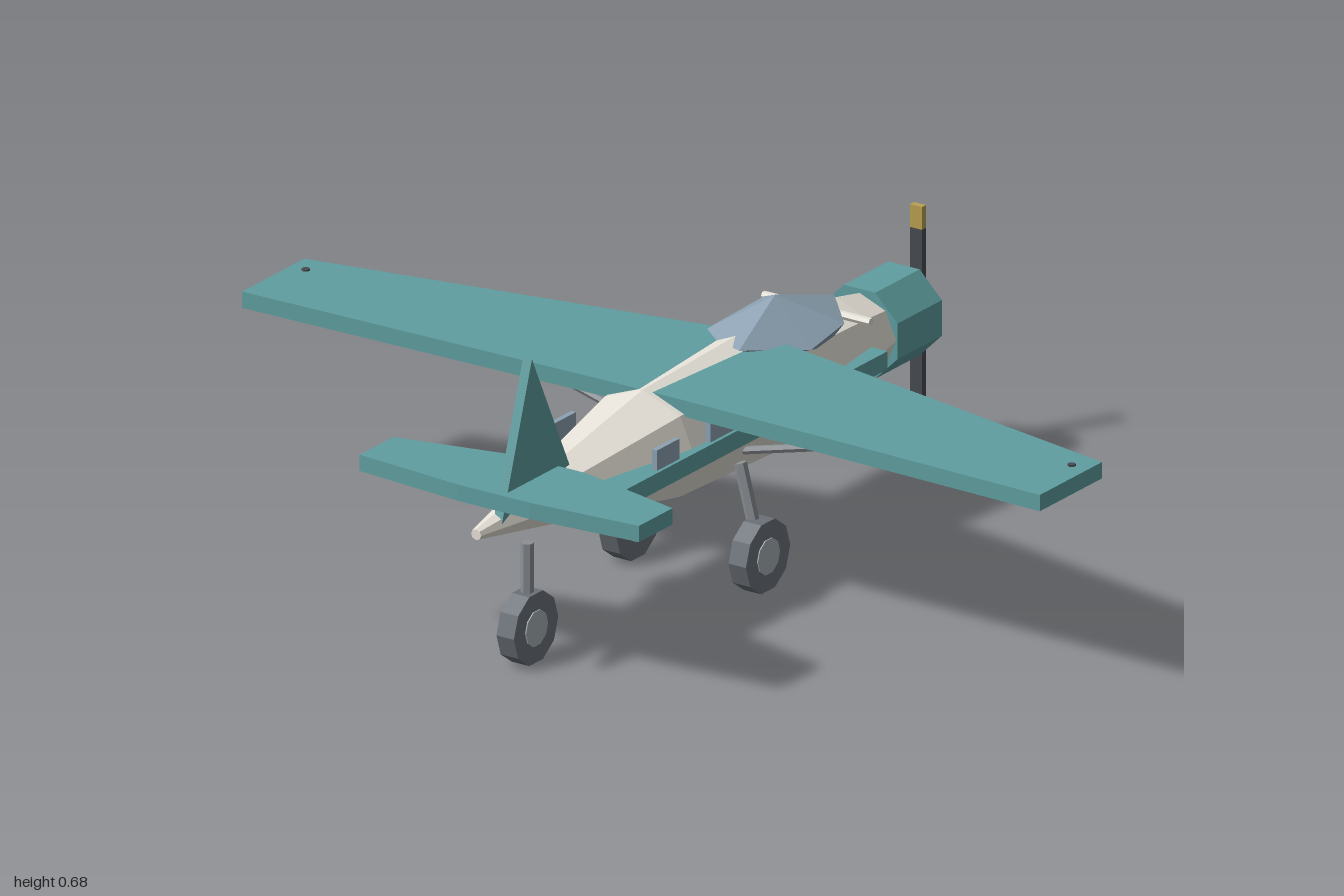
import * as THREE from 'three';
import { ConvexGeometry } from 'three/addons/geometries/ConvexGeometry.js';

const mat = (color) => new THREE.MeshStandardMaterial({ color, flatShading: true });
const teal = mat(0x5f9ea0), cream = mat(0xe6e2d8), glass = mat(0x8da2b3), dark = mat(0x474b50);
const gold = mat(0xb8a050), tyreGrey = mat(0x6b7178), hubGrey = mat(0xa6b2b4), metal = mat(0x8b9095);

export function createModel() {
  const plane = new THREE.Group();
  plane.name = 'airplane';

  const add = (name, geometry, material, x = 0, y = 0, z = 0) => {
    const mesh = new THREE.Mesh(geometry, material);
    mesh.name = name;
    mesh.position.set(x, y, z);
    plane.add(mesh);
    return mesh;
  };
  const box = (name, material, w, h, d, x, y, z) =>
    add(name, new THREE.BoxGeometry(w, h, d), material, x, y, z);
  // Rod between two points
  const rod = (name, material, r, a, b) => {
    const from = new THREE.Vector3(...a), to = new THREE.Vector3(...b);
    const dir = to.clone().sub(from);
    const mesh = add(name, new THREE.CylinderGeometry(r, r, dir.length(), 6), material);
    mesh.position.copy(from).add(to).multiplyScalar(0.5);
    mesh.quaternion.setFromUnitVectors(new THREE.Vector3(0, 1, 0), dir.normalize());
    return mesh;
  };
  const outline = (points) => new THREE.Shape(points.map(([u, v]) => new THREE.Vector2(u, v)));
  // Flat panel from half of its plan outline (x, z), mirrored across x
  const panel = (name, half, top, thickness) => {
    const mirrored = half.map(([x, z]) => [-x, z]).reverse();
    const geometry = new THREE.ExtrudeGeometry(outline([...half, ...mirrored]),
      { depth: thickness, bevelEnabled: false });
    geometry.rotateX(Math.PI / 2);
    return add(name, geometry, teal, 0, top, 0);
  };

  // Eight-sided fuselage, nose at -z
  const profile = [[0, -0.72], [0.06, -0.72], [0.083, -0.6], [0.103, -0.5], [0.138, -0.2],
    [0.126, 0.2], [0.012, 0.8], [0, 0.8]];
  const hull = new THREE.LatheGeometry(profile.map(([r, z]) => new THREE.Vector2(r, z)), 8);
  hull.rotateX(Math.PI / 2).scale(1.07, 1, 1);
  add('fuselage', hull, cream, 0, 0.342, 0);
  box('sideStripe', teal, 0.286, 0.04, 1.03, 0, 0.345, 0.035);

  // Engine cowling, spinner hub and propeller
  const cowl = new THREE.CylinderGeometry(0.103, 0.103, 0.16, 8);
  cowl.rotateY(Math.PI / 8).rotateX(Math.PI / 2);
  add('cowling', cowl, teal, 0, 0.342, -0.665);
  const hub = new THREE.CylinderGeometry(0.036, 0.036, 0.055, 8).rotateX(Math.PI / 2);
  add('propellerHub', hub, metal, 0, 0.342, -0.765);
  box('propeller', dark, 0.03, 0.375, 0.016, 0, 0.3175, -0.796);
  box('propellerTip', gold, 0.03, 0.05, 0.016, 0, 0.53, -0.796);

  // Wing, tailplane and fin
  panel('wing', [[0.1, -0.19], [1, -0.02], [1, 0.205], [0.1, 0.187]], 0.462, 0.036);
  panel('tailplane', [[0.09, 0.535], [0.35, 0.595], [0.35, 0.716], [0.09, 0.738]], 0.413, 0.036);
  const fin = new THREE.ExtrudeGeometry(outline([[0.74, 0.345], [0.63, 0.68], [0.493, 0.4]]),
    { depth: 0.022, bevelEnabled: false });
  add('fin', fin.rotateY(-Math.PI / 2), teal, 0.022, 0, 0);

  // Faceted canopy with a bar in front
  const canopy = [[0.01, 0.53, -0.265], [0.03, 0.475, -0.45], [-0.02, 0.465, -0.445],
    [-0.105, 0.46, -0.39], [-0.105, 0.455, -0.16], [0.045, 0.472, -0.085], [0.125, 0.445, -0.23],
    [0.125, 0.465, -0.35], [0.06, 0.39, -0.375], [-0.06, 0.39, -0.37], [0.06, 0.42, -0.22]];
  add('canopy', new ConvexGeometry(canopy.map((p) => new THREE.Vector3(...p))), glass);
  rod('canopyBar', cream, 0.009, [-0.135, 0.443, -0.432], [0.135, 0.443, -0.432]);

  // Side door panel
  box('door', cream, 0.01, 0.13, 0.08, -0.13, 0.3, 0.29);

  // Wheel with lighter hub on both faces
  const wheel = (name, x, z) => {
    const disc = (r, w) => new THREE.CylinderGeometry(r, r, w, 10).rotateZ(Math.PI / 2);
    add(name, disc(0.08, 0.044), tyreGrey, x, 0.08, z);
    add(name + 'Hub', disc(0.04, 0.049), hubGrey, x, 0.08, z);
  };

  for (const s of [1, -1]) {
    for (const z of [0.108, 0.302]) box('window', glass, 0.012, 0.045, 0.083, s * 0.13, 0.388, z);
    rod('wingStrut', metal, 0.009, [s * 0.12, 0.298, 0.005], [s * 0.62, 0.43, 0.005]);
    rod('gearLeg', metal, 0.014, [s * 0.115, 0.272, 0.012], [s * 0.163, 0.09, 0.012]);
    wheel('mainWheel', s * 0.163, 0.012);
    add('wingTipLight', new THREE.CylinderGeometry(0.009, 0.009, 0.046, 6), dark, s * 0.96, 0.443, 0.032);
  }
  rod('tailLeg', metal, 0.014, [0, 0.265, 0.615], [0, 0.09, 0.615]);
  wheel('tailWheel', 0, 0.615);

  return plane;
}
